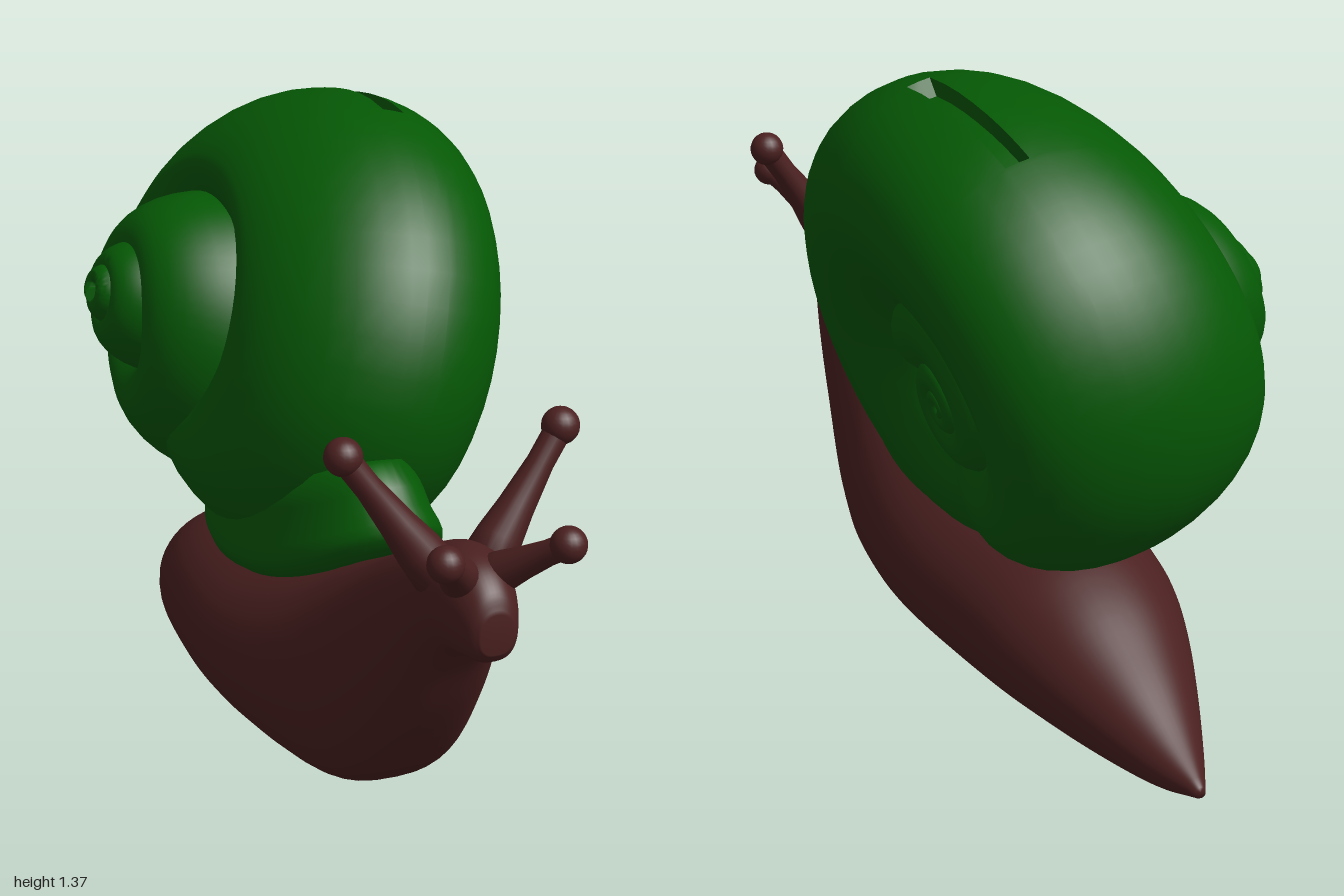
import * as THREE from 'three';
import { toCreasedNormals } from 'three/addons/utils/BufferGeometryUtils.js';

const V = (x, y, z) => new THREE.Vector3(x, y, z);
const { degToRad: rad, smoothstep, lerp } = THREE.MathUtils;
const spow = (v, p) => Math.sign(v) * Math.pow(Math.abs(v), p);
const range = (from, to, step) => {
  const out = [];
  for (let v = from; v <= to + 1e-6; v += step) out.push(v);
  return out;
};

// Skin a series of closed rings, capped at both ends and facing outwards
function loft(rings) {
  const n = rings[0].length;
  const middle = (ring) => ring.reduce((s, p) => s.add(p), V(0, 0, 0)).divideScalar(n);
  const cap = (ring) => ring.map(() => middle(ring));
  const rows = [cap(rings[0]), ...rings, cap(rings[rings.length - 1])];
  const pts = rows.flat();
  const index = [];
  for (let i = 0; i < rows.length - 1; i++) {
    for (let j = 0; j < n; j++) {
      const a = i * n + j, b = i * n + (j + 1) % n;
      index.push(a, b, b + n, a, b + n, a + n);
    }
  }
  let volume = 0;
  const c = V(0, 0, 0);
  for (let k = 0; k < index.length; k += 3) {
    volume += pts[index[k]].dot(c.crossVectors(pts[index[k + 1]], pts[index[k + 2]]));
  }
  if (volume < 0) index.reverse();
  const g = new THREE.BufferGeometry().setFromPoints(pts);
  g.setIndex(index);
  g.computeVertexNormals();
  return g;
}

// Shell frame: tilted coiling axis running from the spire tip to the far side
const APEX = V(-0.43, 0.95, -0.52);
const AXIS = V(0.97, -0.25, 0).normalize();
const UP = V(0.25, 0.97, 0).normalize();
const GROWTH = 2.1;

function shellPoint(phi, along, radius) {
  return APEX.clone()
    .addScaledVector(AXIS, along)
    .addScaledVector(UP, -radius * Math.cos(rad(phi)))
    .add(V(0, 0, -radius * Math.sin(rad(phi))));
}

// Main whorl: each key is outer radius, axial centre, axial half width per quarter turn
function whorlGeometry() {
  const keys = [];
  for (let q = -12; q < 0; q++) {
    const s = Math.pow(GROWTH, q / 4);
    keys.push(V(0.385 * s, 0.46 * s, 0.28 * s));
  }
  keys.push(V(0.425, 0.49, 0.275), V(0.445, 0.505, 0.275), V(0.55, 0.535, 0.265), V(0.77, 0.525, 0.265),
    V(0.42, 0.51, 0.215), V(0.24, 0.48, 0.1));
  const curve = new THREE.CatmullRomCurve3(keys, false, 'catmullrom', 0.5);
  const phis = [...range(-1080, 420, 6), 163, 163.2, 204.8, 205].sort((a, b) => a - b);
  const ts = [...range(0, 350, 10), 84, 84.5, 93.5, 94].sort((a, b) => a - b);
  const rings = phis.map((phi) => {
    const k = curve.getPoint((phi + 1080) / 1530);
    // The last turn leaves a hollow round the axis
    const inner = 0.2 * k.x * smoothstep(phi, -90, 90);
    // The spire side of the last turn slopes like a shoulder
    const slope = 1.1 + 0.35 * smoothstep(phi, 0, 120) * (1 - smoothstep(phi, 220, 290));
    return ts.map((t) => {
      const c = Math.cos(rad(t)), s = Math.sin(rad(t));
      // Sunken slot on top
      const slot = phi > 163.1 && phi < 204.9 && t > 84.3 && t < 93.7 ? 0.04 : 0;
      const along = k.y + k.z * (c > 0 ? spow(c, 0.95) : 1.22 * c);
      const radius = (k.x + inner) / 2 + (k.x - inner) / 2 * spow(s, c > 0 ? 0.95 : slope) - slot;
      return shellPoint(phi, along, radius);
    });
  });
  return toCreasedNormals(loft(rings), 0.8);
}

// Small coil visible in the hollow on the flat side of the shell
function innerCoilGeometry() {
  const rings = range(-700, 340, 10).map((phi) => {
    const outer = 0.29 * Math.pow(2.5, (phi - 270) / 360);
    const sink = 0.2 * smoothstep(phi, 230, 340);
    const s = 0.38 * outer;
    return range(0, 345, 15).map((t) => shellPoint(
      phi, 0.775 - s - sink + s * Math.cos(rad(t)), outer * (0.6 + 0.4 * Math.sin(rad(t)))));
  });
  return loft(rings);
}

// Flared lip where the shell sits on the back
function collarGeometry() {
  const rings = [[0.85, -0.015], [0.96, 0], [1, 0.02], [1, 0.04], [0.97, 0.065], [0.91, 0.1], [0.85, 0.15], [0.76, 0.22]]
    .map(([s, dy]) => range(0, 354, 6).map((t) => {
      const z = -0.085 + 0.435 * s * spow(Math.sin(rad(t)), 0.92);
      const rise = Math.max(0, (z + 0.2) / 0.55);
      const x = -0.03 + 0.035 * rise + 0.205 * s * spow(Math.cos(rad(t)), 0.88);
      return V(x, 0.388 + 0.19 * rise * rise + dy, z);
    }));
  return loft(rings);
}

// Body stations: z, top, bottom, half width
const BODY = [
  [-1, 0.055, 0.03, 0.012], [-0.9, 0.12, 0.008, 0.065], [-0.75, 0.225, 0.005, 0.135],
  [-0.6, 0.32, 0.012, 0.195], [-0.45, 0.375, 0.018, 0.235], [-0.2, 0.405, 0.025, 0.265],
  [0, 0.435, 0.025, 0.265], [0.2, 0.49, 0.025, 0.238], [0.34, 0.555, 0.035, 0.205],
  [0.44, 0.605, 0.085, 0.18], [0.55, 0.665, 0.2, 0.152], [0.65, 0.715, 0.335, 0.128],
  [0.73, 0.75, 0.465, 0.105], [0.8, 0.76, 0.54, 0.088], [0.86, 0.745, 0.555, 0.072],
  [0.905, 0.71, 0.562, 0.054], [0.925, 0.67, 0.585, 0.035],
];

function bodyGeometry() {
  const pos = new THREE.CatmullRomCurve3(BODY.map(([z, top, bottom]) => V(z, top, bottom)), false, 'catmullrom', 0.5);
  const wide = new THREE.CatmullRomCurve3(BODY.map(([z, , , w]) => V(z, w, 0)), false, 'catmullrom', 0.5);
  const rings = range(0, 1, 1 / 80).map((u) => {
    const p = pos.getPoint(u), w = wide.getPoint(u).y;
    // Slightly pear-shaped section along the foot, rounder at the head
    const pear = 0.08 * (1 - smoothstep(p.x, 0.3, 0.7));
    const mid = lerp(p.z, p.y, 0.49);
    return range(0, 352, 8).map((t) => {
      const c = Math.cos(rad(t)), s = Math.sin(rad(t));
      const x = w * (s > 0 ? spow(c, 0.92) * (1 - pear * s) : spow(c, 0.75));
      const y = s > 0 ? mid + (p.y - mid) * spow(s, 0.95) : mid + (mid - p.z) * spow(s, 0.78);
      return V(-0.042 + x, y, p.x);
    });
  });
  return loft(rings);
}

// Tapered stalk ending in a round tip
function tentacle(name, base, tip, r0, r1, ball, material) {
  const group = new THREE.Group();
  group.name = name;
  const dir = tip.clone().sub(base);
  const profile = [[0, 0], [r0 * 1.15, 0], [r0, 0.25], [(r0 + r1) / 2, 0.45], [r1, 0.75], [r1, 1]]
    .map(([r, h]) => new THREE.Vector2(r, h * dir.length()));
  const stalk = new THREE.Mesh(new THREE.LatheGeometry(profile, 20), material);
  stalk.name = name + 'Stalk';
  stalk.position.copy(base);
  stalk.quaternion.setFromUnitVectors(V(0, 1, 0), dir.normalize());
  const end = new THREE.Mesh(new THREE.SphereGeometry(ball, 20, 14), material);
  end.name = name + 'Tip';
  end.position.copy(tip);
  group.add(stalk, end);
  return group;
}

export function createModel() {
  const model = new THREE.Group();
  model.name = 'snail';
  const green = new THREE.MeshStandardMaterial({ color: 0x055805 });
  green.name = 'shell green';
  const brown = new THREE.MeshStandardMaterial({ color: 0x4b2020 });
  brown.name = 'body brown';
  const add = (name, geometry, material) => {
    const mesh = new THREE.Mesh(geometry, material);
    mesh.name = name;
    model.add(mesh);
    return mesh;
  };

  add('shellWhorl', whorlGeometry(), green);
  add('shellInnerCoil', innerCoilGeometry(), green);
  add('shellCollar', collarGeometry(), green);
  add('body', bodyGeometry(), brown);

  // Snout
  const snout = add('snout', new THREE.SphereGeometry(0.05, 20, 14), brown);
  snout.scale.set(1.1, 0.95, 0.8);
  snout.position.set(-0.042, 0.61, 0.885);

  // Eye stalks and feelers
  for (const [side, s] of [['left', 1], ['right', -1]]) {
    model.add(tentacle(side + 'EyeStalk', V(-0.042 + s * 0.04, 0.68, 0.75), V(-0.042 + s * 0.232, 0.95, 0.705), 0.048, 0.028, 0.039, brown));
    model.add(tentacle(side + 'Feeler', V(-0.042 + s * 0.025, 0.7, 0.815), V(-0.042 + s * 0.128, 0.812, 0.963), 0.04, 0.026, 0.037, brown));
  }
  return model;
}
